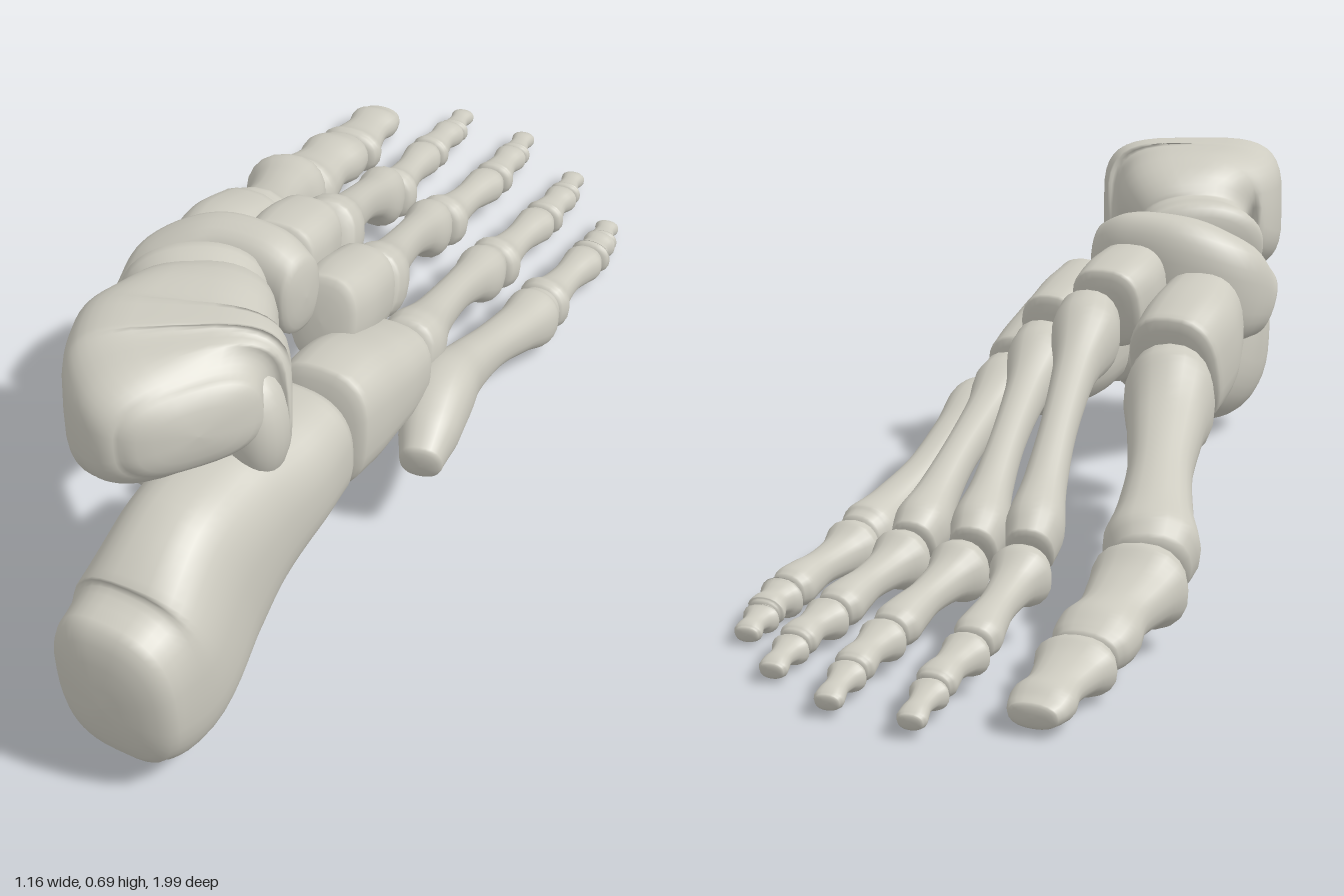
import * as THREE from 'three';

const V = (x, y, z) => new THREE.Vector3(x, y, z);
const boneMat = new THREE.MeshStandardMaterial({ color: 0xcdcbc0 });
boneMat.name = 'bone';

// Smooth closed loft. Each section: [x, y, z, halfWidth, halfHeight, squareness = 2.3]
function loft(sections, { bulge = 0.35, sides = 28, perSpan = 6 } = {}) {
  const path = new THREE.CatmullRomCurve3(sections.map(s => V(s[0], s[1], s[2])), false, 'catmullrom', 0.5);
  const size = new THREE.CatmullRomCurve3(sections.map(s => V(s[3], s[4], s[5] ?? 2.3)), false, 'catmullrom', 0.4);
  const n = (sections.length - 1) * perSpan, capN = 5;
  const rings = [];
  for (let i = 0; i <= capN; i++) {
    const a = (1 - i / capN) * Math.PI / 2;
    rings.push([0, Math.cos(a), -Math.sin(a)]);
  }
  for (let i = 1; i < n; i++) rings.push([i / n, 1, 0]);
  for (let i = 0; i <= capN; i++) {
    const a = i / capN * Math.PI / 2;
    rings.push([1, Math.cos(a), Math.sin(a)]);
  }
  const pos = [], idx = [];
  for (const [t, scale, push] of rings) {
    const c = path.getPoint(t), s = size.getPoint(t), T = path.getTangent(t);
    const side = T.clone().cross(V(0, 1, 0)).normalize();
    const up = side.clone().cross(T);
    c.addScaledVector(T, push * bulge * Math.min(s.x, s.y));
    for (let j = 0; j < sides; j++) {
      const a = j / sides * Math.PI * 2, e = 2 / s.z;
      const u = Math.sign(Math.cos(a)) * Math.abs(Math.cos(a)) ** e;
      const v = Math.sign(Math.sin(a)) * Math.abs(Math.sin(a)) ** e;
      const p = c.clone().addScaledVector(side, u * s.x * scale).addScaledVector(up, v * s.y * scale);
      pos.push(p.x, p.y, p.z);
    }
  }
  for (let i = 0; i < rings.length - 1; i++) {
    for (let j = 0; j < sides; j++) {
      const a = i * sides + j, b = i * sides + (j + 1) % sides;
      idx.push(a, a + sides, b, b, a + sides, b + sides);
    }
  }
  const g = new THREE.BufferGeometry();
  g.setAttribute('position', new THREE.Float32BufferAttribute(pos, 3));
  g.setIndex(idx);
  g.computeVertexNormals();
  return g;
}

// Long bone from a to b: flared base, slim shaft, knuckled head
function longBone(a, b, [bw, bh], [sw, sh], [hw, hh], arch = 0) {
  const rows = [
    [0.03, bw * 0.92, bh * 0.95, 0], [0.12, bw, bh, 0], [0.3, sw * 1.2, sh * 1.2, 0.7],
    [0.55, sw, sh, 1], [0.75, sw * 1.15, sh * 1.15, 0.6], [0.89, hw, hh, 0], [0.97, hw * 0.85, hh * 0.88, -0.2],
  ];
  return loft(rows.map(([t, w, h, k]) => {
    const p = V(...a).lerp(V(...b), t);
    return [p.x, p.y + k * arch, p.z, w, h];
  }), { sides: 20, perSpan: 4 });
}

export function createModel() {
  const foot = new THREE.Group();
  foot.name = 'footSkeleton';
  const add = (name, geometry, parent = foot) => {
    const m = new THREE.Mesh(geometry, boneMat);
    m.name = name;
    parent.add(m);
    return m;
  };
  const lump = (name, p, r, turn = 0) => {
    const m = add(name, new THREE.SphereGeometry(1, 24, 16));
    m.position.set(...p);
    m.scale.set(...r);
    m.rotation.y = turn;
  };

  // Heel bone with its inner shelf
  add('heelBone', loft([
    [-0.475, 0.205, 0.9, 0.118, 0.155, 2.7],
    [-0.42, 0.213, 0.825, 0.134, 0.187, 2.6],
    [-0.35, 0.27, 0.715, 0.12, 0.203, 2.5],
    [-0.285, 0.305, 0.62, 0.12, 0.168, 2.4],
    [-0.21, 0.32, 0.53, 0.118, 0.13, 2.4],
    [-0.15, 0.322, 0.45, 0.105, 0.115, 2.6],
  ], { sides: 40, bulge: 0.4 }));
  lump('heelInnerShelf', [-0.37, 0.405, 0.54], [0.1, 0.05, 0.11], 0.4);

  // Ankle bone: blocky saddle body, neck and rounded head
  add('ankleBone', loft([
    [-0.335, 0.57, 0.695, 0.125, 0.075, 2.8],
    [-0.352, 0.565, 0.65, 0.175, 0.115, 3.2],
    [-0.355, 0.553, 0.59, 0.186, 0.14, 3.8],
    [-0.345, 0.56, 0.5, 0.178, 0.132, 3.5],
    [-0.32, 0.575, 0.425, 0.14, 0.103, 2.6],
    [-0.32, 0.54, 0.36, 0.112, 0.078, 2.2],
    [-0.32, 0.515, 0.28, 0.132, 0.1, 2.2],
  ], { sides: 40, bulge: 0.4 }));
  lump('ankleOuterProcess', [-0.23, 0.495, 0.595], [0.06, 0.115, 0.08]);

  // Midfoot bones
  add('boatBone', loft([
    [-0.425, 0.42, 0.205, 0.052, 0.07],
    [-0.36, 0.45, 0.165, 0.07, 0.105, 2.6],
    [-0.27, 0.478, 0.172, 0.07, 0.118, 2.7],
    [-0.19, 0.497, 0.22, 0.065, 0.105, 2.6],
    [-0.14, 0.497, 0.265, 0.055, 0.08],
  ]));
  add('cuboidBone', loft([
    [-0.115, 0.325, 0.415, 0.095, 0.118, 2.7],
    [-0.07, 0.315, 0.345, 0.1, 0.118, 2.6],
    [-0.015, 0.298, 0.27, 0.092, 0.1, 2.6],
    [0.03, 0.28, 0.205, 0.082, 0.085, 2.6],
  ], { bulge: 0.25 }));
  add('innerWedgeBone', loft([
    [-0.3, 0.405, 0.085, 0.082, 0.108, 2.6],
    [-0.265, 0.38, 0, 0.093, 0.118, 2.6],
    [-0.225, 0.35, -0.075, 0.088, 0.118, 2.6],
  ], { bulge: 0.25 }));
  add('middleWedgeBone', loft([
    [-0.17, 0.475, 0.14, 0.072, 0.08, 2.7],
    [-0.14, 0.465, 0.085, 0.077, 0.08, 2.7],
    [-0.11, 0.45, 0.035, 0.07, 0.08, 2.7],
  ], { bulge: 0.25 }));
  add('outerWedgeBone', loft([
    [-0.095, 0.425, 0.25, 0.062, 0.085, 2.5],
    [-0.06, 0.405, 0.18, 0.073, 0.088, 2.5],
    [-0.015, 0.385, 0.105, 0.066, 0.083, 2.5],
  ], { bulge: 0.25 }));

  // Rays: each has a metatarsal (base, head) and toe joints [start, end]
  const rays = [
    { name: 'bigToe', meta: [[-0.215, 0.33, -0.1], [-0.11, 0.13, -0.58]],
      size: [[0.084, 0.11], [0.058, 0.06], [0.084, 0.085]], arch: 0.015,
      toes: [[[-0.105, 0.115, -0.58], [0.025, 0.068, -0.81]], [[0.03, 0.058, -0.81], [0.125, 0.036, -0.99]]],
      toeSize: [[[0.086, 0.076], [0.062, 0.046], [0.068, 0.046]], [[0.07, 0.05], [0.047, 0.03], [0.05, 0.026]]] },
    { name: 'secondToe', meta: [[-0.08, 0.44, 0.03], [0.09, 0.145, -0.53]],
      size: [[0.063, 0.076], [0.033, 0.038], [0.05, 0.062]], arch: 0.02,
      toes: [[[0.095, 0.125, -0.54], [0.2, 0.075, -0.765]], [[0.205, 0.068, -0.775], [0.27, 0.052, -0.885]],
        [[0.272, 0.045, -0.89], [0.31, 0.03, -0.98]]] },
    { name: 'middleToe', meta: [[0, 0.37, 0.09], [0.18, 0.125, -0.44]],
      size: [[0.06, 0.072], [0.032, 0.037], [0.05, 0.06]], arch: 0.02,
      toes: [[[0.19, 0.108, -0.455], [0.33, 0.065, -0.665]], [[0.335, 0.06, -0.675], [0.395, 0.047, -0.785]],
        [[0.398, 0.042, -0.79], [0.435, 0.028, -0.88]]] },
    { name: 'fourthToe', meta: [[0.055, 0.285, 0.185], [0.28, 0.1, -0.315]],
      size: [[0.06, 0.068], [0.033, 0.037], [0.05, 0.058]], arch: 0.02,
      toes: [[[0.285, 0.088, -0.325], [0.42, 0.055, -0.525]], [[0.425, 0.05, -0.535], [0.485, 0.04, -0.63]],
        [[0.488, 0.035, -0.64], [0.523, 0.024, -0.72]]] },
    { name: 'littleToe',
      toes: [[[0.37, 0.07, -0.205], [0.5, 0.048, -0.39]], [[0.505, 0.043, -0.4], [0.538, 0.035, -0.46]],
        [[0.54, 0.03, -0.468], [0.567, 0.022, -0.535]]] },
  ];
  const smallToe = [
    [[0.054, 0.054], [0.031, 0.03], [0.041, 0.036]],
    [[0.042, 0.036], [0.028, 0.024], [0.035, 0.027]],
    [[0.033, 0.026], [0.02, 0.016], [0.025, 0.017]],
  ];
  const joints = ['NearJoint', 'MidJoint', 'TipJoint'];
  rays.forEach(({ name, meta, size, arch, toes, toeSize = smallToe }) => {
    const ray = new THREE.Group();
    ray.name = name;
    foot.add(ray);
    if (meta) add(name + 'Metatarsal', longBone(...meta, ...size, arch), ray);
    toes.forEach(([a, b], i) => add(name + joints[i], longBone(a, b, ...toeSize[i], 0.004), ray));
  });

  // Outer metatarsal with its backward-pointing spur
  add('littleToeMetatarsal', loft([
    [0.07, 0.175, 0.36, 0.04, 0.042],
    [0.093, 0.192, 0.29, 0.057, 0.063],
    [0.125, 0.203, 0.205, 0.062, 0.07],
    [0.175, 0.178, 0.11, 0.046, 0.054],
    [0.24, 0.14, 0, 0.04, 0.042],
    [0.305, 0.104, -0.095, 0.045, 0.047],
    [0.347, 0.08, -0.16, 0.055, 0.06],
    [0.367, 0.075, -0.19, 0.045, 0.05],
  ]), foot.getObjectByName('littleToe'));

  return foot;
}
